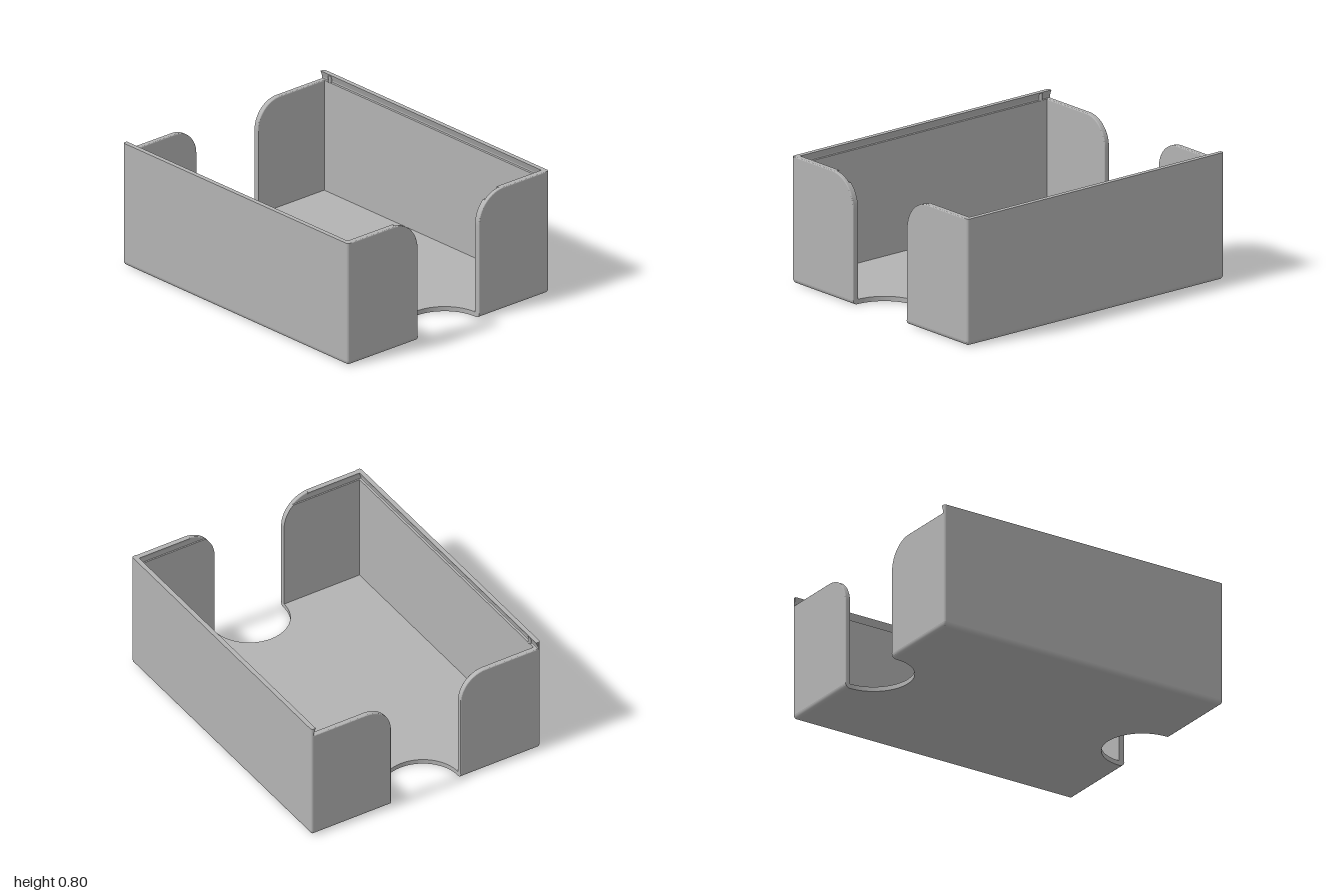
import * as THREE from 'three';

const W = 0.805, D = 1, H = 0.795;      // half width, half depth, height
const LEDGE = 0.745;                    // height where the lid slides in
const T = 0.03;                         // floor thickness and bottom edge radius
const GAP = 0.245;                      // half width of the finger openings
const CORNER = 0.015;                   // radius of the upright corners
const BEVEL = 0.006;

const plastic = new THREE.MeshStandardMaterial({ color: 0xb3b3b3 });
plastic.name = 'greyPlastic';

function polygon(points) {
  return new THREE.Shape(points.map(([x, y]) => new THREE.Vector2(x, y)));
}

function extrude(shape, depth, options = {}) {
  return new THREE.ExtrudeGeometry(shape, { depth, bevelEnabled: false, curveSegments: 20, ...options });
}

// Copy of a geometry reflected in x, with its winding turned round
function reflected(geometry) {
  const g = geometry.index ? geometry.toNonIndexed() : geometry.clone();
  for (const name of ['position', 'normal']) {
    const a = g.attributes[name];
    for (let i = 0; i < a.count; i += 3) {
      const p = [0, 2, 1].map((k) => new THREE.Vector3().fromBufferAttribute(a, i + k));
      p.forEach((v, k) => a.setXYZ(i + k, -v.x, v.y, v.z));
    }
  }
  return g;
}

// End panel outline with a rounded upper corner, cut off at height clip
function panelShape(top, r, clip) {
  const start = Math.PI - Math.asin((clip - top + r) / r);
  const s = new THREE.Shape();
  s.moveTo(GAP, 0.023);
  s.lineTo(W - 0.008, 0.023);
  s.lineTo(W - 0.008, clip);
  s.absarc(GAP + r, top - r, r, start, Math.PI, false);
  s.closePath();
  return s;
}

// Panel between two z values with softened edges
function bevelledPanel(shape, z0, z1) {
  return extrude(shape, z1 - z0 - 2 * BEVEL, {
    bevelEnabled: true, bevelSize: BEVEL, bevelThickness: BEVEL, bevelOffset: -BEVEL, bevelSegments: 3,
  }).translate(0, 0, z0 + BEVEL);
}

// Prism along x from a cross-section given as [z, y]
function prismX(points, x0, x1) {
  return extrude(polygon(points.map(([z, y]) => [-z, y])), x1 - x0)
    .rotateY(Math.PI / 2).translate(x0, 0, 0);
}

// Plan outline of one half at a given inset, from front opening to back opening
function halfOutline(inset) {
  const x = W - inset, z = D - inset, r = Math.max(CORNER - inset, 0.001), n = 5;
  const pts = [[GAP + 0.05, z]];
  for (const side of [1, -1]) {
    for (let i = 0; i <= n; i++) {
      const a = (side > 0 ? Math.PI / 2 - (i / n) * Math.PI / 2 : -(i / n) * Math.PI / 2);
      pts.push([x - r + r * Math.cos(a), side * (z - r) + r * Math.sin(a)]);
    }
  }
  pts.push([GAP + 0.05, -z]);
  return pts;
}

// Rounded bottom edge lofted through inset outlines
function bottomEdge() {
  const levels = 6, pos = [], index = [];
  let n = 0;
  for (let k = 0; k <= levels; k++) {
    const t = (k / levels) * Math.PI / 2;
    const ring = halfOutline(T - T * Math.sin(t));
    n = ring.length;
    for (const [x, z] of ring) pos.push(x, T - T * Math.cos(t), z);
  }
  for (let k = 0; k < levels; k++) {
    for (let j = 0; j < n - 1; j++) {
      const a = k * n + j, b = a + 1, c = b + n, d = a + n;
      index.push(a, b, c, a, c, d);
    }
  }
  const g = new THREE.BufferGeometry();
  g.setAttribute('position', new THREE.Float32BufferAttribute(pos, 3));
  g.setIndex(index);
  g.computeVertexNormals();
  return g;
}

// Short solid end of the rounded edge beside an opening
function edgeEnd(side) {
  const pts = [[side * (D - T), T]];
  for (let k = 0; k <= 6; k++) {
    const t = (k / 6) * Math.PI / 2;
    pts.push([side * (D - T + T * Math.sin(t)), T - T * Math.cos(t)]);
  }
  return prismX(pts, GAP, GAP + 0.05);
}

// Floor with a half-round finger cut at each end
function floorGeometry() {
  const x = W - T, z = D - T, c = 0.965;
  const s = new THREE.Shape();
  s.moveTo(-x, -z);
  s.lineTo(-GAP, -z);
  s.absarc(0, -c, GAP, Math.PI, 0, true);
  s.lineTo(GAP, -z);
  s.lineTo(x, -z);
  s.lineTo(x, z);
  s.lineTo(GAP, z);
  s.absarc(0, c, GAP, 0, -Math.PI, true);
  s.lineTo(-GAP, z);
  s.lineTo(-x, z);
  s.closePath();
  return extrude(s, T, { curveSegments: 40 }).rotateX(-Math.PI / 2);
}

// Outer skin of a side wall, rounded at its two upright corners
function outerSide() {
  const xi = W - CORNER, s = new THREE.Shape();
  s.moveTo(xi, -D);
  s.absarc(xi, -D + CORNER, CORNER, -Math.PI / 2, 0, false);
  s.absarc(xi, D - CORNER, CORNER, 0, Math.PI / 2, false);
  s.closePath();
  return extrude(s, H - T, { curveSegments: 5 }).rotateX(-Math.PI / 2).translate(0, T, 0);
}

export function createModel() {
  const model = new THREE.Group();
  model.name = 'cardTray';

  const add = (name, geometry) => {
    const mesh = new THREE.Mesh(geometry, plastic);
    mesh.name = name;
    model.add(mesh);
  };
  const addPair = (name, geometry) => {
    add(name + 'Left', geometry);
    add(name + 'Right', reflected(geometry));
  };

  add('floor', floorGeometry());
  addPair('bottomEdge', bottomEdge());
  for (const [end, side] of [['front', 1], ['back', -1]]) addPair(end + 'EdgeEnd', edgeEnd(side));

  // Side walls with an undercut lip that holds the sliding lid
  const inner = W - T, groove = W - CORNER;
  addPair('sideWallOuter', outerSide());
  addPair('sideWallInner',
    new THREE.BoxGeometry(groove - inner, LEDGE - T, 2 * D - 0.01)
      .translate((groove + inner) / 2, (LEDGE + T) / 2, 0));
  addPair('sideLip',
    extrude(polygon([[groove, LEDGE + 0.01], [groove, H], [inner, H]]), 2 * D - 0.002)
      .translate(0, 0, -D + 0.001));

  // Small bumps that click the lid shut
  addPair('lidCatch',
    new THREE.CylinderGeometry(0.011, 0.011, H - LEDGE - 0.005, 16)
      .translate(inner + 0.006, (H + LEDGE) / 2 - 0.003, -0.92));

  // Front panels, full height, grooved behind the top edge
  addPair('frontPanelOuter', bevelledPanel(panelShape(H, 0.195, H), 0.972, D));
  addPair('frontPanelInner', extrude(panelShape(H, 0.195, LEDGE), 0.021).translate(0, 0, 0.963));
  addPair('frontLip', prismX([[0.98, LEDGE + 0.01], [0.98, H], [0.963, H]], GAP + 0.17, groove));

  // Back panels, lower so the lid can pass over them
  addPair('backPanel', bevelledPanel(panelShape(LEDGE, 0.175, LEDGE), -D, -0.965));

  return model;
}
